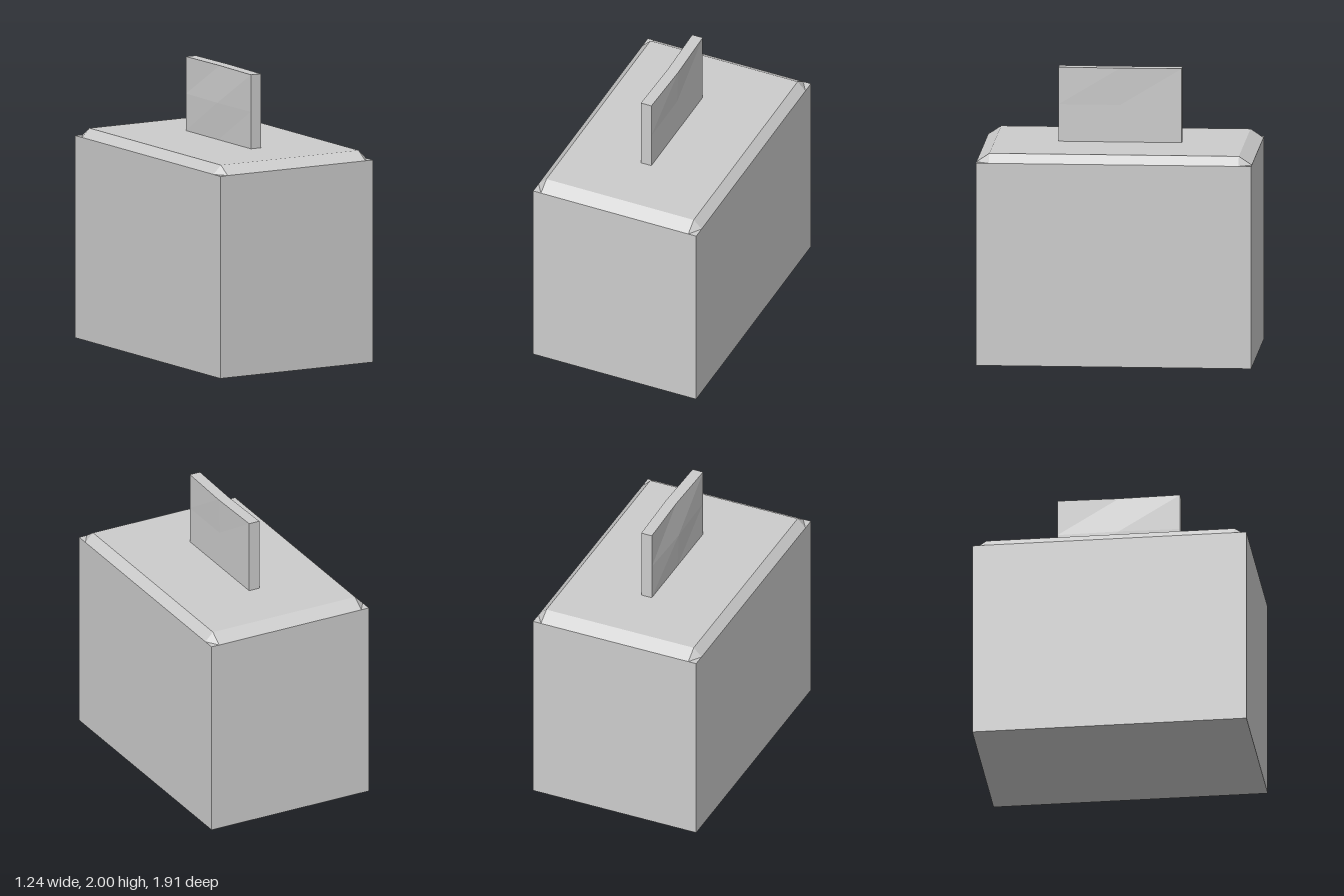
import * as THREE from 'three';

const material = () => new THREE.MeshStandardMaterial({ color: 0xcccccc, flatShading: true });

function addPart(group, name, geometry, x = 0, y = 0, z = 0) {
  const mesh = new THREE.Mesh(geometry, material());
  mesh.name = name;
  mesh.position.set(x, y, z);
  group.add(mesh);
}

// Sloping rim: upper rectangle joined to a lower rectangle with clipped corners
function bevelGeometry(outX, outZ, inX, inZ, height) {
  const positions = [];
  const tri = (...points) => points.forEach((p) => positions.push(...p));
  const corners = [[1, 1], [1, -1], [-1, -1], [-1, 1]];
  const top = corners.map(([sx, sz]) => [sx * inX, height, sz * inZ]);
  // two lower points per corner, listed counter-clockwise from above
  const low = corners.map(([sx, sz]) => {
    const onSide = [sx * outX, 0, sz * inZ];
    const onEnd = [sx * inX, 0, sz * outZ];
    return sx * sz > 0 ? [onEnd, onSide] : [onSide, onEnd];
  });
  for (let i = 0; i < 4; i++) {
    const j = (i + 1) % 4;
    tri(low[i][0], low[i][1], top[i]); // corner facet
    tri(low[i][1], low[j][0], top[j]); // straight slope
    tri(low[i][1], top[j], top[i]);
  }
  tri(top[0], top[1], top[2]); // flat top
  tri(top[0], top[2], top[3]);
  const geometry = new THREE.BufferGeometry();
  geometry.setAttribute('position', new THREE.Float32BufferAttribute(positions, 3));
  geometry.computeVertexNormals();
  return geometry;
}

// Upright plate, slightly warped along its middle
function plateGeometry(width, height, depth) {
  const geometry = new THREE.BoxGeometry(width, height, depth, 1, 2, 2);
  const p = geometry.attributes.position;
  for (let i = 0; i < p.count; i++) {
    if (Math.abs(p.getZ(i)) > 0.01) continue;
    const y = p.getY(i);
    if (y > 0.01) p.setX(i, p.getX(i) + 0.01);
    else if (y > -0.01 && p.getX(i) < 0) p.setX(i, p.getX(i) - 0.01);
  }
  geometry.computeVertexNormals();
  return geometry;
}

export function createModel() {
  const model = new THREE.Group();
  model.name = 'blockWithPlate';
  addPart(model, 'body', new THREE.BoxGeometry(1.24, 1.42, 1.91), 0, 0.71, 0);
  addPart(model, 'bevelledTop', bevelGeometry(0.62, 0.955, 0.56, 0.865, 0.06), 0, 1.42, 0);
  addPart(model, 'uprightPlate', plateGeometry(0.08, 0.52, 0.855), -0.003, 1.74, -0.003);
  return model;
}
